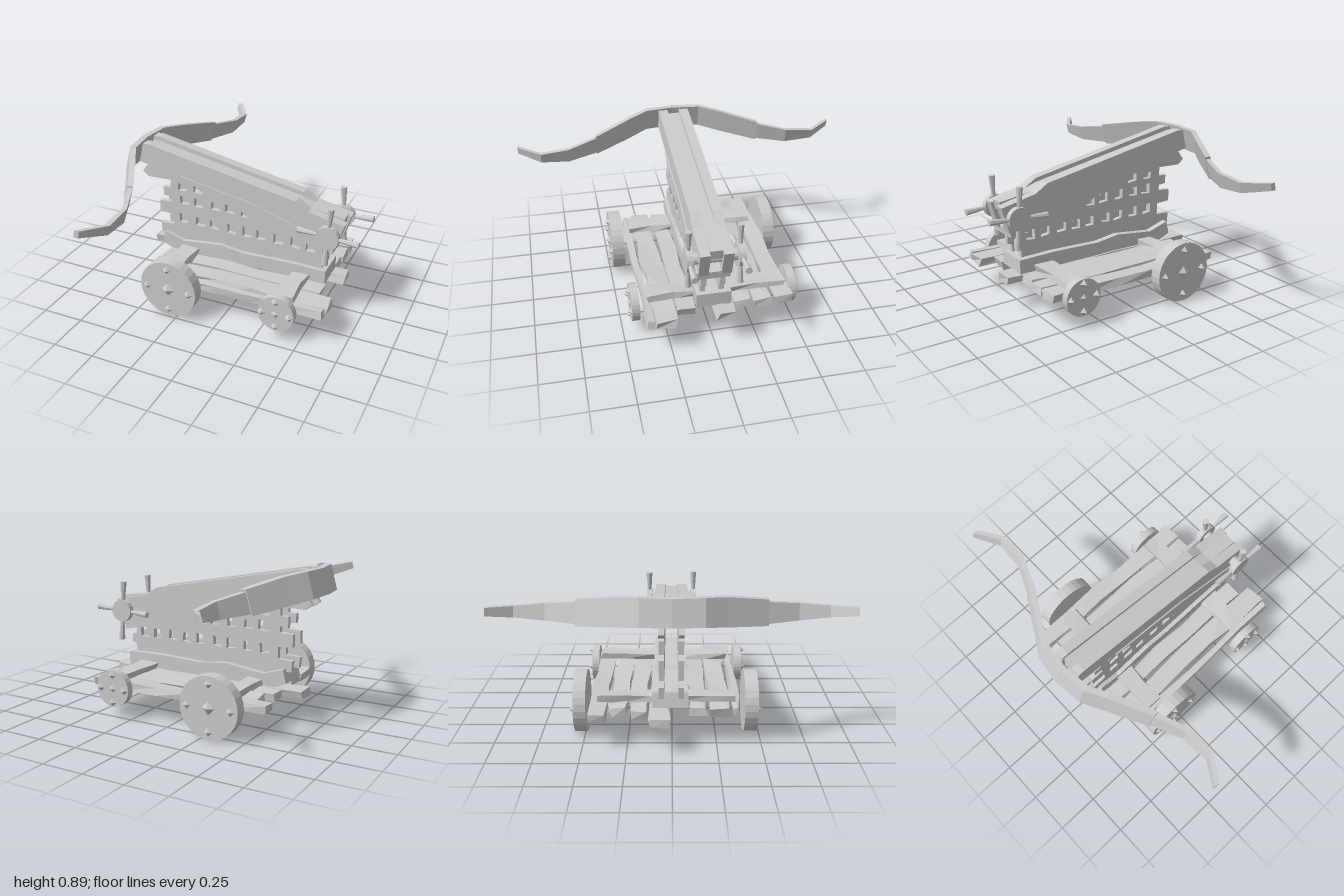
import * as THREE from 'three';

const mat = new THREE.MeshStandardMaterial({ color: 0xcccccc, flatShading: true, side: THREE.DoubleSide });

// small seeded generator for hand-cut wood
let seed = 7;
const rand = () => ((seed = (seed * 16807) % 2147483647) / 2147483647) * 2 - 1;

function add(parent, name, geo, x = 0, y = 0, z = 0) {
  const m = new THREE.Mesh(geo, mat);
  m.name = name;
  m.position.set(x, y, z);
  parent.add(m);
  return m;
}

// rough plank: a box whose cross-sections along its length are slightly shifted
function plankGeo(x0, x1, y0, y1, z0, z1, rough = 0.008, alongZ = false) {
  const n = 5;
  const g = new THREE.BoxGeometry(x1 - x0, y1 - y0, z1 - z0, alongZ ? 1 : n, 1, alongZ ? n : 1);
  const p = g.attributes.position;
  const shifts = new Map();
  for (let i = 0; i < p.count; i++) {
    const key = [p.getX(i), p.getY(i), p.getZ(i)].map(v => v.toFixed(3)).join();
    if (!shifts.has(key)) shifts.set(key, [rand() * rough, rand() * rough * 0.5, rand() * rough]);
    const s = shifts.get(key);
    p.setXYZ(i, p.getX(i) + s[0], p.getY(i) + s[1], p.getZ(i) + s[2]);
  }
  g.translate((x0 + x1) / 2, (y0 + y1) / 2, (z0 + z1) / 2);
  return g;
}

// side profile in x and y, extruded from z0 to z1
function slab(points, z0, z1, holes = []) {
  const s = new THREE.Shape(points.map(p => new THREE.Vector2(...p)));
  s.holes = holes.map(h => new THREE.Path(h.map(p => new THREE.Vector2(...p))));
  return new THREE.ExtrudeGeometry(s, { depth: z1 - z0, bevelEnabled: false }).translate(0, 0, z0);
}

// loft of leaning rectangular sections: [x, z, bottom, top, thickness]
function loft(sections) {
  const pos = [], idx = [];
  for (const [x, z, b, t, w] of sections) {
    const lean = (t - b) * 0.14;
    pos.push(x - w / 2 - lean, b, z, x + w / 2 - lean, b, z, x + w / 2 + lean, t, z, x - w / 2 + lean, t, z);
  }
  const n = sections.length;
  for (let i = 0; i < n - 1; i++)
    for (let k = 0; k < 4; k++) {
      const a = i * 4 + k, b = i * 4 + (k + 1) % 4;
      idx.push(a, b, b + 4, a, b + 4, a + 4);
    }
  const e = (n - 1) * 4;
  idx.push(0, 2, 1, 0, 3, 2, e, e + 1, e + 2, e, e + 2, e + 3);
  const g = new THREE.BufferGeometry();
  g.setAttribute('position', new THREE.Float32BufferAttribute(pos, 3));
  g.setIndex(idx);
  const flat = g.toNonIndexed();
  flat.computeVertexNormals();
  return flat;
}

// solid disc wheel with pointed studs on its outer face
function wheel(x, y, r, z0, z1, side) {
  const w = new THREE.Group();
  w.name = 'wheel';
  add(w, 'wheelDisc', new THREE.CylinderGeometry(r, r, z1 - z0, 28).rotateX(Math.PI / 2), 0, 0, (z0 + z1) / 2);
  const face = side > 0 ? z1 : z0;
  add(w, 'hubStud', new THREE.OctahedronGeometry(r * 0.22).scale(1, 1, 0.6), 0, 0, face);
  for (let i = 0; i < 4; i++) {
    const a = i * Math.PI / 2;
    add(w, 'rimStud', new THREE.OctahedronGeometry(0.025), Math.cos(a) * r * 0.75, Math.sin(a) * r * 0.75, face);
  }
  w.position.set(x, y, 0);
  return w;
}

export function createModel() {
  seed = 7;
  const model = new THREE.Group();
  model.name = 'boltThrower';

  // wheels
  model.add(
    wheel(-0.3, 0.185, 0.18, 0.41, 0.485, 1), wheel(-0.3, 0.185, 0.18, -0.556, -0.485, -1),
    wheel(0.365, 0.18, 0.11, 0.402, 0.448, 1), wheel(0.365, 0.18, 0.11, -0.515, -0.47, -1));

  // deck planks: x0, x1, z0, z1
  for (const [x0, x1, z0, z1] of [
    [-0.5, 0.62, 0.34, 0.38], [-0.5, 0.62, 0.215, 0.325], [-0.5, 0.53, 0.1, 0.19],
    [-0.65, 0.62, -0.12, -0.02], [-0.54, 0.53, -0.235, -0.135],
    [-0.5, 0.53, -0.345, -0.25], [-0.59, 0.54, -0.47, -0.37]])
    add(model, 'deckPlank', plankGeo(x0, x1, 0.167, 0.213, z0, z1, 0.012));

  // cross beams
  add(model, 'rearCrossBeam', plankGeo(-0.41, -0.3, 0.21, 0.25, -0.43, 0.365, 0.012, true));
  add(model, 'frontCrossBeam', plankGeo(0.32, 0.43, 0.21, 0.25, -0.46, 0.36, 0.012, true));

  // base beam under the lattice
  add(model, 'baseBeam', slab([[-0.55, 0.24], [-0.48, 0.21], [0.53, 0.21], [0.53, 0.295], [0.3, 0.3],
    [0, 0.29], [-0.15, 0.31], [-0.4, 0.28], [-0.53, 0.32]], -0.11, 0.09));

  // lattice walls with ragged ends and rows of openings
  const outline = [[-0.48, 0.26], [0.5, 0.26], [0.5, 0.34], [0.53, 0.35], [0.53, 0.4], [0.5, 0.41], [0.5, 0.5],
    [0.1, 0.6], [-0.4, 0.74], [-0.62, 0.78], [-0.68, 0.7], [-0.64, 0.67], [-0.49, 0.675], [-0.49, 0.62],
    [-0.54, 0.62], [-0.54, 0.565], [-0.49, 0.56], [-0.49, 0.525], [-0.57, 0.52], [-0.57, 0.445], [-0.48, 0.44],
    [-0.48, 0.37], [-0.57, 0.365], [-0.565, 0.3], [-0.48, 0.3]];
  for (const [z, dx] of [[0.05, 0], [-0.058, 0.012]]) {
    const holes = [];
    for (const [y0, y1, count] of [[0.395, 0.455, 9], [0.525, 0.58, 5], [0.615, 0.66, 2]])
      for (let i = 0; i < count; i++) {
        const x = -0.43 + i * 0.104 + dx + rand() * 0.008, j = () => rand() * 0.006;
        holes.push([[x, y0 + j()], [x, y1 + j()], [x + 0.06 + j(), y1 + j()], [x + 0.06 + j(), y0 + j()]]);
      }
    add(model, 'latticeWall', slab(outline, z - 0.015, z + 0.015, holes));
  }

  // stock: twin side rails, lower slide between them and a trough below
  const rail = [[-0.65, 0.895], [-0.61, 0.897], [0.333, 0.714], [0.41, 0.665], [0.627, 0.618],
    [0.58, 0.46], [0.45, 0.5], [0.1, 0.62], [-0.4, 0.72], [-0.68, 0.775]];
  add(model, 'leftRail', slab(rail, 0.035, 0.092));
  add(model, 'rightRail', slab(rail, -0.095, -0.038));
  add(model, 'slide', slab([[-0.64, 0.875], [0.333, 0.69], [0.41, 0.665], [0.61, 0.635], [0.6, 0.58],
    [0.3, 0.62], [-0.65, 0.78]], -0.038, 0.035));
  add(model, 'trough', slab([[-0.4, 0.73], [-0.27, 0.675], [-0.05, 0.62], [0.05, 0.54], [0.57, 0.43],
    [0.575, 0.475], [0.1, 0.64]], -0.09, 0.1));

  // winch: axle, two hubs and four handles on each
  add(model, 'winchAxle', new THREE.CylinderGeometry(0.033, 0.033, 0.3, 14).rotateX(Math.PI / 2), 0.55, 0.56, -0.002);
  for (const [z, turn] of [[0.142, -0.02], [-0.147, 0.1]]) {
    const hub = new THREE.Group();
    hub.name = 'winchWheel';
    add(hub, 'winchHub', new THREE.CylinderGeometry(0.068, 0.068, 0.036, 18).rotateX(Math.PI / 2));
    for (let i = 0; i < 4; i++) {
      const handle = add(hub, 'winchHandle', new THREE.CylinderGeometry(0.02, 0.011, 0.13, 8).translate(0, 0.117, 0));
      handle.rotation.z = i * Math.PI / 2;
    }
    hub.position.set(0.55, 0.56, z);
    hub.rotation.z = turn - 0.04;
    model.add(hub);
  }

  // bow: thick middle and thinner curved limbs
  const half = [[-0.69, 0.17, 0.755, 0.9, 0.038], [-0.62, 0.29, 0.735, 0.885, 0.038], [-0.5, 0.515, 0.705, 0.84, 0.038]];
  const mirror = s => [s[0], -s[1], ...s.slice(2)];
  add(model, 'bowMiddle', loft([...half.map(mirror).reverse(), [-0.71, 0, 0.757, 0.9, 0.038], ...half]));
  const limb = [[-0.51, 0.49, 0.715, 0.83, 0.03], [-0.425, 0.69, 0.71, 0.8, 0.03],
    [-0.42, 0.86, 0.725, 0.785, 0.03], [-0.51, 0.995, 0.757, 0.8, 0.03]];
  add(model, 'leftBowLimb', loft(limb));
  add(model, 'rightBowLimb', loft(limb.map(mirror).reverse()));

  return model;
}
